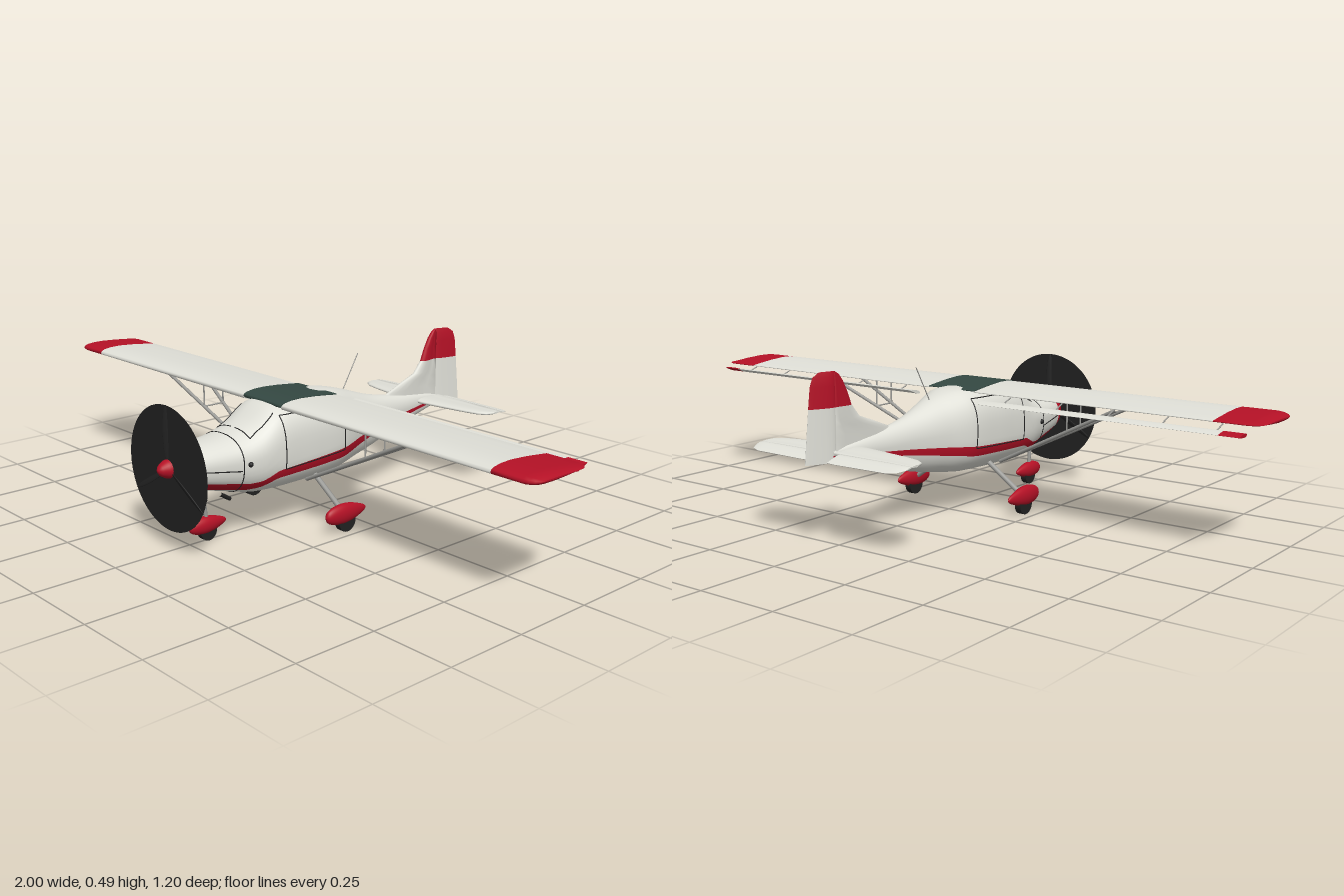
import * as THREE from 'three';

const paint = (name, color, extra = {}) => {
  const m = new THREE.MeshStandardMaterial({ color, ...extra });
  m.name = name;
  return m;
};
const V = (x, y, z) => new THREE.Vector3(x, y, z);

// Fuselage stations: z, top, bottom, height of widest point, half width, roundness of upper half
const STATIONS = [
  [0.555, 0.283, 0.197, 0.243, 0.045, 2], [0.54, 0.29, 0.186, 0.243, 0.062, 2.1],
  [0.5, 0.297, 0.172, 0.24, 0.078, 2.2], [0.375, 0.308, 0.138, 0.235, 0.1, 2.3],
  [0.31, 0.329, 0.123, 0.235, 0.114, 2.4], [0.24, 0.373, 0.118, 0.235, 0.119, 2.8],
  [0.19, 0.38, 0.117, 0.235, 0.119, 3], [0.1, 0.381, 0.118, 0.235, 0.118, 3],
  [0, 0.379, 0.122, 0.24, 0.112, 2.8], [-0.05, 0.37, 0.128, 0.245, 0.098, 2.4],
  [-0.1, 0.355, 0.136, 0.25, 0.08, 2.2], [-0.2, 0.322, 0.156, 0.25, 0.053, 2.1],
  [-0.3, 0.302, 0.183, 0.25, 0.036, 2], [-0.4, 0.288, 0.21, 0.252, 0.023, 2],
  [-0.52, 0.27, 0.238, 0.255, 0.008, 2],
];
// Side stripe: z, upper edge, lower edge
const STRIPE = [[0.555, 0.215, 0.18], [0.5, 0.2, 0.174], [0.35, 0.172, 0.148], [0.31, 0.174, 0.152],
  [0.255, 0.198, 0.173], [0, 0.211, 0.18], [-0.25, 0.234, 0.217], [-0.52, 0.257, 0.25]];

const span = (table, z) => {
  let i = 0;
  while (i < table.length - 2 && z < table[i + 1][0]) i++;
  return [i, (z - table[i][0]) / (table[i + 1][0] - table[i][0])];
};
const linear = (table, z) => {
  const [i, t] = span(table, z);
  return table[i].map((v, k) => v + (table[i + 1][k] - v) * t);
};
// Smooth interpolation of the stations
const station = (z) => {
  const T = STATIONS, [i, t] = span(T, z), dz = T[i + 1][0] - T[i][0];
  const slope = (j, k) => {
    const a = T[Math.max(j - 1, 0)], b = T[Math.min(j + 1, T.length - 1)];
    return (b[k] - a[k]) / (b[0] - a[0]) * dz;
  };
  const t2 = t * t, t3 = t2 * t;
  return T[i].map((v, k) => (2 * t3 - 3 * t2 + 1) * v + (t3 - 2 * t2 + t) * slope(i, k)
    + (3 * t2 - 2 * t3) * T[i + 1][k] + (t3 - t2) * slope(i + 1, k));
};
// Point on the hull; angle runs from +90 degrees (top) to -90 (bottom)
const hullPoint = (z, a, side = 1, out = 0) => {
  const [, top, bot, mid, hw, n] = station(z);
  const s = Math.sin(a), p = 2 / (s > 0 ? n : 2.4);
  const x = hw * Math.pow(Math.max(Math.cos(a), 0), p);
  const y = mid + (s > 0 ? top - mid : bot - mid) * Math.pow(Math.abs(s), p);
  return V(side * (x + out * Math.cos(a)), y + out * s, z);
};
const hullAngle = (z, y) => {
  const [, top, bot, mid, , n] = station(z);
  const t = y > mid ? (y - mid) / (top - mid) : (mid - y) / (mid - bot);
  return Math.sign(y - mid) * Math.asin(Math.pow(Math.min(t, 0.98), (y > mid ? n : 2.4) / 2));
};

// Closed skin through rings of equal length, with end caps and outward faces
function loft(rings, slot = () => 0) {
  const n = rings[0].length, pts = rings.flat(), faces = [];
  for (let i = 0; i < rings.length - 1; i++) for (let j = 0; j < n; j++) {
    const a = i * n + j, b = i * n + (j + 1) % n, m = slot(i, j);
    faces.push([m, a, b, a + n], [m, b, b + n, a + n]);
  }
  for (const [k, flip] of [[0, true], [rings.length - 1, false]]) {
    const base = pts.length, mid = V(0, 0, 0);
    rings[k].forEach((p) => { pts.push(p); mid.addScaledVector(p, 1 / n); });
    pts.push(mid);
    for (let j = 0; j < n; j++) {
      const a = base + j, b = base + (j + 1) % n;
      faces.push([slot(Math.min(k, rings.length - 2), j), ...(flip ? [b, a, base + n] : [a, b, base + n])]);
    }
  }
  let volume = 0;
  for (const [, a, b, c] of faces) volume += pts[a].dot(pts[b].clone().cross(pts[c]));
  if (volume < 0) faces.forEach((f) => { [f[1], f[2]] = [f[2], f[1]]; });
  faces.sort((a, b) => a[0] - b[0]);
  const g = new THREE.BufferGeometry().setFromPoints(pts);
  g.setIndex(faces.flatMap((f) => f.slice(1)));
  for (let m = 0; m <= faces.at(-1)[0]; m++) {
    g.addGroup(faces.findIndex((f) => f[0] === m) * 3, faces.filter((f) => f[0] === m).length * 3, m);
  }
  g.computeVertexNormals();
  return g;
}
// Aerofoil section as [chord position, offset] pairs
const foil = (le, te, th, tail = 0.08) => {
  const half = [[0, 0], [0.02, 0.4], [0.07, 0.7], [0.18, 0.95], [0.35, 1], [0.6, 0.75], [0.82, 0.4], [1, tail]];
  const at = (s) => ([u, h]) => [le + (te - le) * u, s * h * th];
  return [...half.map(at(1)), ...half.slice(1).reverse().map(at(-1))];
};

export function createModel() {
  const white = paint('white', 0xe0e0d8), red = paint('red', 0xb51126), black = paint('black', 0x222222);
  const glass = paint('tintedGlass', 0x344842), grey = paint('grey', 0x9c9c98);
  const discBlack = paint('propellerBlack', 0x222222, { side: THREE.DoubleSide });
  const model = new THREE.Group();
  const add = (name, geo, mat, parent = model) => {
    const m = new THREE.Mesh(geo, mat);
    m.name = name;
    parent.add(m);
    return m;
  };
  const rod = (name, a, b, r, mat) => add(name, new THREE.TubeGeometry(new THREE.LineCurve3(a, b), 1, r, 8), mat);
  const line = (name, pts, closed = false) => add(name,
    new THREE.TubeGeometry(new THREE.CatmullRomCurve3(pts, closed), pts.length * 2, 0.0017, 5, closed), black);

  // Fuselage with red nose and side stripes
  const zs = [0.555, 0.55, 0.54, 0.52];
  for (let i = 0; i <= 68; i++) zs.push(0.5 - i * 0.015);
  const lerpTo = (a, b, n) => Array.from({ length: n }, (_, i) => a + (b - a) * i / n);
  const rings = zs.map((z) => {
    const [, hi, lo] = linear(STRIPE, z), q = Math.PI / 2, a = hullAngle(z, hi), b = hullAngle(z, lo);
    const angles = [...lerpTo(q, a, 14), ...lerpTo(a, b, 2), ...lerpTo(b, -q, 8), -q];
    return [...angles.map((t) => hullPoint(z, t)), ...angles.slice(1, -1).reverse().map((t) => hullPoint(z, t, -1))];
  });
  add('fuselage', loft(rings, (i, j) => {
    const k = j < 24 ? j : 47 - j;
    return zs[i] > 0.501 || k === 14 || k === 15 ? 1 : 0;
  }), [white, red]);

  // Panel lines, doors and windscreen frame
  const turn = Array.from({ length: 40 }, (_, i) => i / 40 * Math.PI * 2);
  line('cowlSeam', turn.map((t) => hullPoint(0.375, Math.asin(Math.sin(t)), Math.cos(t) < 0 ? -1 : 1)), true);
  for (const s of [1, -1]) {
    const along = (name, path) => path.slice(1).forEach(([z, y], i) => {
      const [z0, y0] = path[i];
      line(name, Array.from({ length: 11 }, (_, k) => {
        const zz = z0 + (z - z0) * k / 10;
        return hullPoint(zz, hullAngle(zz, y0 + (y - y0) * k / 10), s);
      }));
    });
    along('doorFrame', [[0.235, 0.352], [0, 0.354], [-0.004, 0.205], [0.235, 0.197], [0.235, 0.352]]);
    along('windscreenPillar', [[0.335, 0.3], [0.29, 0.325], [0.245, 0.358]]);
    along('cowlSplit', [[0.5, 0.235], [0.38, 0.218]]);
    line('windscreenBase', lerpTo(hullAngle(0.335, 0.3), Math.PI / 2 + 0.01, 12).map((a) => hullPoint(0.335, a, s)));
    add('vent', new THREE.SphereGeometry(0.008, 10, 8), black).position.copy(hullPoint(0.355, 0, s));
  }
  rod('exhaust', V(0.03, 0.14, 0.41), V(0.03, 0.118, 0.375), 0.006, black);

  // Wings, skylight, ailerons, struts and main gear
  const wingRing = (x, inset = 0, th = 0.015, y = 0.373, le = 0.228, te = 0.01) =>
    foil(le - inset, te + inset, th).map(([c, h]) => V(x, y + h, c));
  add('skylight', loft([-0.086, -0.045, 0, 0.045, 0.086].map((x) => wingRing(x, 0, 0.014, 0.376))), glass);
  for (const s of [1, -1]) {
    add('wing', loft([wingRing(s * 0.085), wingRing(s * 0.865)]), white);
    add('wingTip', loft([[0.865, 0, 0.015], [0.96, 0, 0.015], [0.978, 0.004, 0.013], [0.99, 0.013, 0.01],
      [0.997, 0.023, 0.006], [1, 0.035, 0.002]].map(([x, inset, th]) => wingRing(s * x, inset, th))), red);
    const [rise, y] = s > 0 ? [0.012, 0.351] : [-0.002, 0.348];
    const flapRing = (x) => foil(0.014, -0.032, 0.005).map(([c, h]) => V(s * x, y + h + rise * (0.014 - c) / 0.046, c));
    add('aileron', loft([flapRing(0.125), flapRing(0.9)]), white);
    add('aileronTip', loft([flapRing(0.9), flapRing(0.96)]), red);
    for (const x of [0.2, 0.38, 0.55, 0.72, 0.88]) rod('aileronHinge', V(s * x, 0.364, 0.04), V(s * x, y, 0), 0.002, grey);

    const foot = V(s * 0.095, 0.14, 0.138);
    for (const z of [0.18, 0.055]) {
      const head = V(s * 0.55, 0.362, z);
      rod('wingStrut', foot, head, 0.0055, grey);
      const mid = foot.clone().lerp(head, 0.6);
      rod('juryStrut', mid, V(mid.x, 0.362, mid.z), 0.0025, grey);
    }
    rod('strutBrace', foot.clone().lerp(V(s * 0.55, 0.362, 0.18), 0.6), foot.clone().lerp(V(s * 0.55, 0.362, 0.055), 0.6), 0.0025, grey);
    rod('mainLeg', V(s * 0.08, 0.145, 0.095), V(s * 0.21, 0.055, 0.095), 0.008, grey);
  }

  // Wheels with streamlined covers
  const wheel = (x, y, z, r, length, height) => {
    const tyre = add('tyre', new THREE.CylinderGeometry(r, r, 0.02, 28), black);
    tyre.rotation.z = Math.PI / 2;
    tyre.position.set(x, r, z);
    const profile = [[0, -1], [0.3, -0.88], [0.6, -0.6], [0.87, -0.25], [1, 0.1], [0.97, 0.4], [0.8, 0.7], [0.5, 0.91], [0, 1]];
    const cover = add('wheelCover', new THREE.LatheGeometry(
      new THREE.SplineCurve(profile.map((p) => new THREE.Vector2(...p))).getPoints(28).map((p) => p.setX(Math.max(p.x, 0))), 28), red);
    cover.rotation.x = Math.PI / 2;
    cover.scale.set(0.019, length, height);
    cover.position.set(x, y, z - 0.003);
  };
  wheel(0.215, 0.056, 0.093, 0.032, 0.08, 0.031);
  wheel(-0.215, 0.056, 0.093, 0.032, 0.08, 0.031);
  wheel(0, 0.047, 0.437, 0.028, 0.067, 0.026);
  rod('noseLeg', V(0, 0.045, 0.438), V(0, 0.16, 0.45), 0.006, grey);
  for (let i = 0; i < 4; i++) {
    const ring = add('noseSpring', new THREE.TorusGeometry(0.009, 0.003, 6, 16), black);
    ring.rotation.x = Math.PI / 2;
    ring.position.set(0, 0.122 + i * 0.007, 0.447);
  }

  // Propeller: spinner, three blades and the swept disc
  const propeller = new THREE.Group();
  propeller.name = 'propeller';
  propeller.position.set(0, 0.243, 0.565);
  model.add(propeller);
  const cone = [[0, -0.025], [0.03, -0.025], [0.029, -0.008], [0.025, 0.01], [0.016, 0.026], [0.007, 0.033], [0, 0.035]];
  add('spinner', new THREE.LatheGeometry(cone.map((p) => new THREE.Vector2(...p)), 28), red, propeller).rotation.x = Math.PI / 2;
  add('propellerDisc', new THREE.CircleGeometry(0.182, 64), discBlack, propeller);
  for (let i = 0; i < 3; i++) {
    const blade = new THREE.SphereGeometry(1, 14, 12).scale(0.013, 0.083, 0.003).rotateY(0.45).translate(0, 0.1, 0);
    add('blade', blade.rotateZ(i * Math.PI * 2 / 3), black, propeller);
  }

  // Fin with dorsal fillet, and turned rudder, both with red tops
  const HINGE = -0.51;
  const finRing = ([y, le, th]) => foil(le, HINGE, th, 0.6).map(([c, h]) => V(h, y, c));
  add('fin', loft([[0.255, -0.25, 0.01], [0.306, -0.285, 0.01], [0.335, -0.36, 0.01], [0.353, -0.41, 0.01],
    [0.39, -0.443, 0.01]].map(finRing)), white);
  add('finTop', loft([[0.39, -0.443, 0.01], [0.43, -0.46, 0.009], [0.462, -0.478, 0.008], [0.48, -0.493, 0.006],
    [0.488, -0.506, 0.003]].map(finRing)), red);
  const rudder = new THREE.Group();
  rudder.name = 'rudder';
  rudder.position.z = HINGE;
  rudder.rotation.y = -0.32;
  model.add(rudder);
  const rudderRing = ([y, length, th]) => foil(0.004, -length, th).map(([c, h]) => V(h, y, c));
  add('rudderBase', loft([[0.238, 0.092, 0.007], [0.3, 0.087, 0.007], [0.39, 0.079, 0.007]].map(rudderRing)), white, rudder);
  add('rudderTop', loft([[0.39, 0.079, 0.007], [0.45, 0.073, 0.007], [0.475, 0.065, 0.005], [0.489, 0.045, 0.002]].map(rudderRing)), red, rudder);

  // Tailplane and elevators
  for (const s of [1, -1]) {
    const tailRing = ([x, le, th]) => foil(le, -0.52, th, 0.6).map(([c, h]) => V(s * x, 0.262 + h, c));
    add('tailplane', loft([[0, -0.41, 0.008], [0.04, -0.412, 0.008], [0.2, -0.438, 0.007], [0.245, -0.448, 0.006],
      [0.268, -0.464, 0.005], [0.277, -0.49, 0.003]].map(tailRing)), white);
    const elevatorRing = ([x, te, th]) => foil(-0.518, te, th).map(([c, h]) => V(s * x, 0.262 + h + (c + 0.518) * 0.2, c));
    add('elevator', loft([[0.03, -0.575, 0.005], [0.06, -0.577, 0.005], [0.235, -0.574, 0.005], [0.264, -0.563, 0.004],
      [0.277, -0.54, 0.002]].map(elevatorRing)), white);
  }

  // Aerial behind the cabin
  rod('aerial', V(0, 0.35, -0.093), V(0, 0.46, -0.158), 0.0015, grey);
  return model;
}
